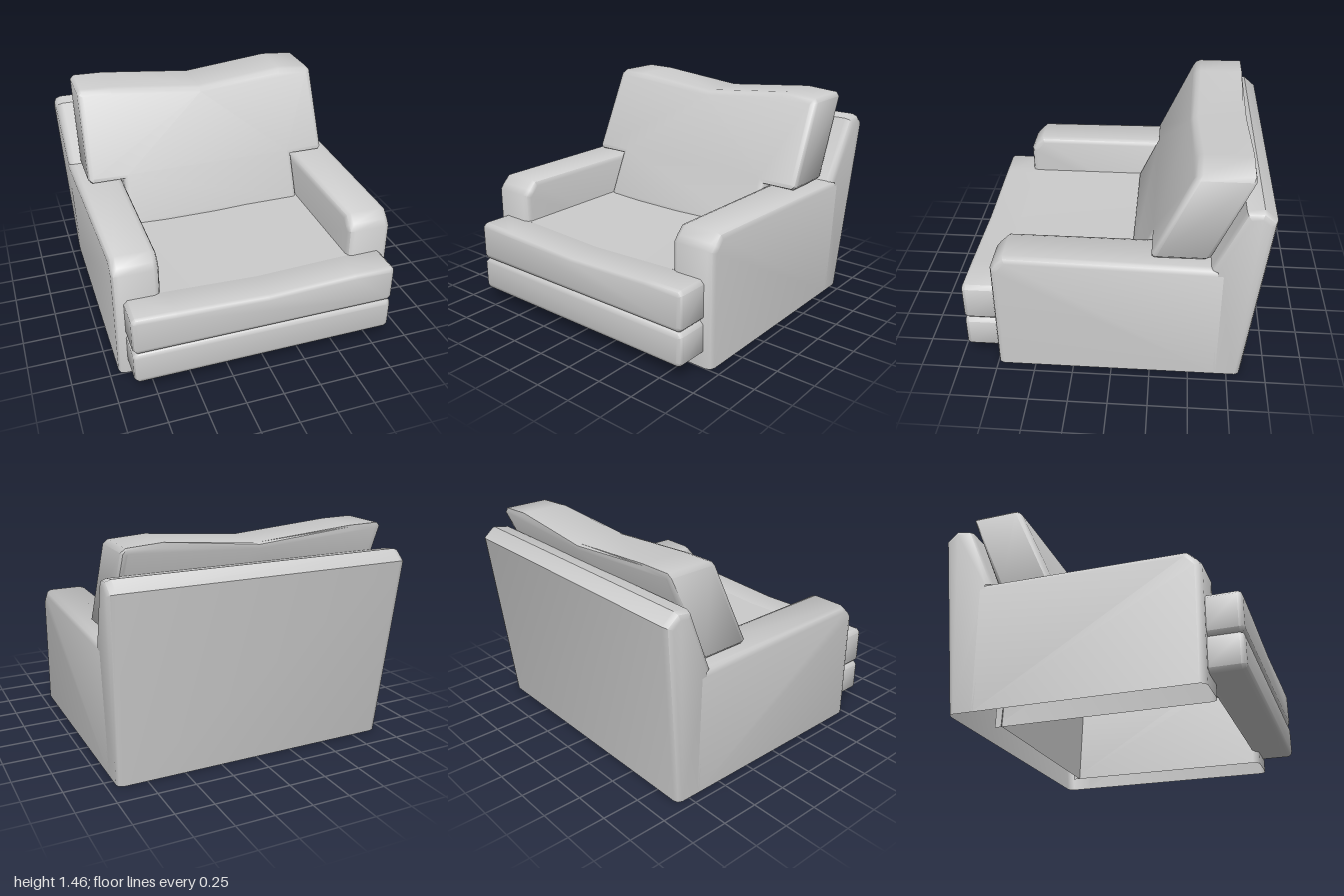
import * as THREE from 'three';
import { toCreasedNormals } from 'three/addons/utils/BufferGeometryUtils.js';

// The upholstery is made of open shells, so both sides show
const material = new THREE.MeshStandardMaterial({ color: 0xcccccc, side: THREE.DoubleSide });

// Cuts the sharp outer corners of a counter-clockwise outline
function chamfered(points, cut) {
  const corners = points.map(([x, y]) => new THREE.Vector2(x, y));
  const n = corners.length;
  return corners.flatMap((p, i) => {
    const before = corners[(i + n - 1) % n].clone().sub(p).normalize();
    const after = corners[(i + 1) % n].clone().sub(p).normalize();
    if (after.cross(before) < 0.5) return [p];
    return [p.clone().addScaledVector(before, cut), p.clone().addScaledVector(after, cut)];
  });
}

// Outline extruded to an exact depth (0..depth), with softened edges inside the outline
function padded(outline, depth, bevel) {
  const geometry = new THREE.ExtrudeGeometry(new THREE.Shape(outline), {
    depth: depth - 2 * bevel,
    bevelEnabled: bevel > 0,
    bevelThickness: bevel,
    bevelSize: bevel,
    bevelOffset: -bevel,
    bevelSegments: 2,
  });
  return geometry.translate(0, 0, bevel);
}

// Moves every vertex by a rule
function reshape(geometry, rule) {
  const pos = geometry.attributes.position;
  const v = new THREE.Vector3();
  for (let i = 0; i < pos.count; i++) {
    rule(v.fromBufferAttribute(pos, i));
    pos.setXYZ(i, v.x, v.y, v.z);
  }
  return geometry;
}

// Removes the triangles whose three corners all pass the test
function opened(geometry, test) {
  const pos = geometry.attributes.position;
  const kept = [];
  for (let i = 0; i < pos.count; i += 3) {
    const corners = [0, 1, 2].map((k) => new THREE.Vector3().fromBufferAttribute(pos, i + k));
    if (!corners.every(test)) kept.push(...corners);
  }
  return new THREE.BufferGeometry().setFromPoints(kept);
}

function part(name, geometry) {
  const mesh = new THREE.Mesh(toCreasedNormals(geometry, 0.85), material);
  mesh.name = name;
  return mesh;
}

// Side profile of [z, y] points swept across x: open at the floor, outer side flaring toward the top of the back
function framePart(profile, x0, x1, isOpen) {
  const outline = profile.map(([z, y]) => new THREE.Vector2(-z, y));
  const geometry = padded(outline, x1 - x0, 0.04);
  geometry.rotateY(Math.PI / 2).translate(x0, 0, 0);
  reshape(geometry, (v) => {
    v.y = Math.max(0, v.y);
    const rearward = THREE.MathUtils.clamp((0.75 - v.z) / 1.6, 0, 1) ** 2;
    const outward = THREE.MathUtils.clamp((Math.abs(v.x) - 0.64) / 0.3, 0, 1);
    v.x += Math.sign(v.x) * 0.06 * (v.y / 1.27) * rearward * outward;
  });
  return opened(opened(geometry, (v) => v.y < 0.001), isOpen);
}

export function createModel() {
  const chair = new THREE.Group();
  chair.name = 'armchair';

  // Arms, open where they run into the back
  const armProfile = [[0.75, -0.06], [0.75, 0.76], [0.72, 0.8], [0.665, 0.853], [-0.72, 0.853], [-0.72, -0.06]];
  const armRear = (v) => v.z < -0.67;
  chair.add(part('leftArm', framePart(armProfile, 0.64, 0.94, armRear)));
  chair.add(part('rightArm', framePart(armProfile, -0.94, -0.64, armRear)));

  // Leaning back frame, open below where the arms and inner panel meet it
  const backProfile = [
    [-0.63, -0.06], [-0.605, 0.85], [-0.78, 1.27], [-0.88, 1.287], [-0.96, 1.22], [-0.84, -0.06],
  ];
  chair.add(part('backFrame', framePart(backProfile, -0.94, 0.94, (v) => v.z > -0.69)));

  // Panel closing the back frame between the arms
  const panel = new THREE.PlaneGeometry(1.3, 0.85).rotateX(0.03).translate(0, 0.425, -0.62);
  chair.add(part('innerBackPanel', panel));

  // Front rolls of the base and the seat cushion
  const baseRoll = [[-0.88, 0.085], [0.88, 0.085], [0.88, 0.312], [-0.88, 0.312]];
  const seatRoll = [
    [-0.88, 0.312], [0.88, 0.312], [0.88, 0.575], [0.6, 0.572],
    [0, 0.55], [-0.6, 0.572], [-0.88, 0.575],
  ];
  for (const [name, outline] of [['baseFront', baseRoll], ['seatFront', seatRoll]]) {
    chair.add(part(name, padded(chamfered(outline, 0.025), 0.265, 0.03).translate(0, 0, 0.7)));
  }

  // Seat top, sagging toward the front and hollow underneath
  const seatStrip = [
    [-0.66, 0.53], [0.66, 0.53], [0.66, 0.573], [0.6, 0.572],
    [0, 0.55], [-0.6, 0.572], [-0.66, 0.573],
  ].map(([x, y]) => new THREE.Vector2(x, y));
  const seat = reshape(padded(seatStrip, 1.355, 0).translate(0, 0, -0.62), (v) => {
    if (v.z < 0 && v.y > 0.54) v.y = 0.573;
  });
  chair.add(part('seatTop', seat));

  // T-shaped back cushion, sheared to lean backward with an upright rear edge at the top
  const cushionOutline = [
    [-0.64, 0.55], [0.64, 0.55], [0.64, 0.86], [0.887, 0.86], [0.872, 1.435],
    [0.62, 1.453], [0, 1.397], [-0.64, 1.453], [-0.872, 1.457], [-0.887, 0.86], [-0.64, 0.86],
  ];
  const cushion = reshape(padded(chamfered(cushionOutline, 0.025), 0.37, 0.035), (v) => {
    v.z = Math.max(-0.83, v.z - 0.6 - 0.455 * (v.y - 0.863));
  });
  chair.add(part('backCushion', cushion));

  return chair;
}
